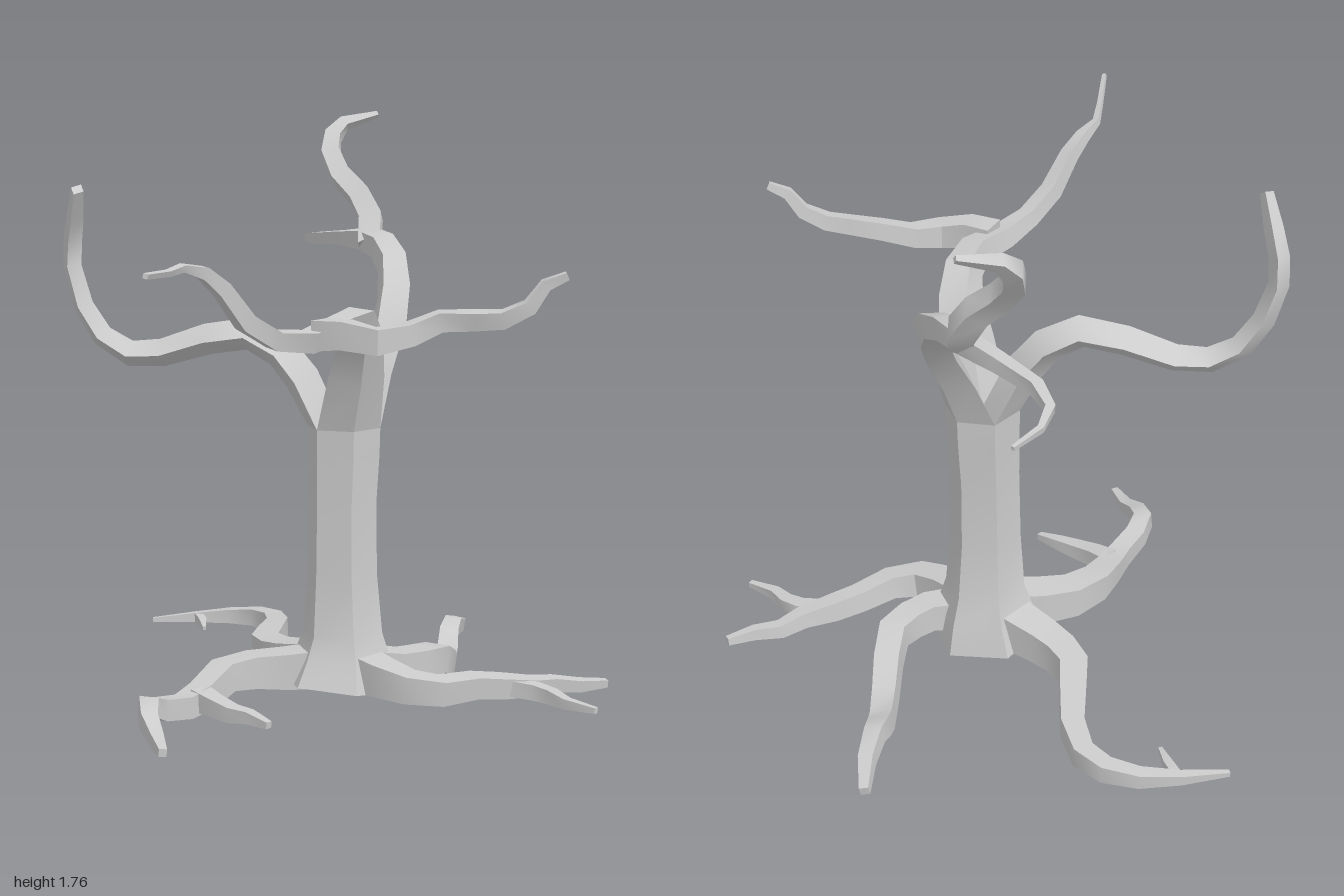
import * as THREE from 'three';
import { toCreasedNormals } from 'three/addons/utils/BufferGeometryUtils.js';

const material = new THREE.MeshStandardMaterial({ color: 0xcccccc });
const V = (x, y, z) => new THREE.Vector3(x, y, z);

// Sweeps a polygon along points [x, y, z, radius, sideRadius?].
// out: direction of the first corner; spin: turn of the section; start: optional first tangent.
function limb(name, points, { sides = 4, out = V(0, 1, 0), spin = 0, start = null } = {}) {
  const path = points.map((p) => V(p[0], p[1], p[2]));
  const last = path.length - 1;
  const normal = out.clone();
  const rings = path.map((p, i) => {
    const before = path[i].clone().sub(path[Math.max(i - 1, 0)]).normalize();
    const after = path[Math.min(i + 1, last)].clone().sub(path[i]).normalize();
    const t = i === 0 && start ? start.clone() : before.add(after).normalize();
    normal.addScaledVector(t, -normal.dot(t)).normalize();
    const side = t.clone().cross(normal);
    const [, , , a, b = a] = points[i];
    return Array.from({ length: sides }, (_, j) => {
      const angle = spin + (j / sides) * Math.PI * 2;
      return p.clone().addScaledVector(normal, Math.cos(angle) * a).addScaledVector(side, Math.sin(angle) * b);
    });
  });
  const tris = [];
  for (let j = 0; j < sides; j++) {
    const k = (j + 1) % sides;
    for (let i = 0; i < last; i++) {
      const [p, q, r, s] = [rings[i][j], rings[i][k], rings[i + 1][k], rings[i + 1][j]];
      tris.push(p, q, r, p, r, s);
    }
    tris.push(path[0], rings[0][k], rings[0][j], path[last], rings[last][j], rings[last][k]);
  }
  const geometry = toCreasedNormals(new THREE.BufferGeometry().setFromPoints(tris), 0.65);
  const mesh = new THREE.Mesh(geometry, material);
  mesh.name = name;
  return mesh;
}

export function createModel() {
  const tree = new THREE.Group();
  tree.name = 'bareTree';
  const cx = 0.17, cz = 0.1, R = 0.112, forkY = 0.84;

  // Six-sided trunk with a flared foot
  tree.add(limb('trunk', [
    [cx - 0.01, 0.055, cz, 0.18], [cx, 0.14, cz, 0.15], [cx, 0.22, cz, 0.122], [cx - 0.005, 0.4, cz, 0.108],
    [cx - 0.005, 0.62, cz, 0.105], [cx, 0.76, cz, 0.11], [cx, forkY, cz, R],
  ], { sides: 6, out: V(1, 0, 0) }));

  // The trunk's hexagon splits into three rhombi, each the root of a main branch
  const mainBranch = (name, degrees, points) => {
    const a = THREE.MathUtils.degToRad(degrees);
    const out = V(Math.cos(a), 0, Math.sin(a));
    const first = [cx + out.x * R / 2, forkY, cz + out.z * R / 2, R / 2, R * 0.866];
    tree.add(limb(name, [first, ...points], { out, start: V(0, 1, 0) }));
  };
  mainBranch('rightBranch', 120, [
    [0.12, 1.0, 0.2, 0.055, 0.085], [0.085, 1.12, 0.25, 0.05, 0.068], [0.03, 1.18, 0.285, 0.046, 0.06],
    [-0.09, 1.175, 0.345, 0.042, 0.052], [-0.25, 1.15, 0.375, 0.038, 0.045], [-0.38, 1.165, 0.38, 0.036],
    [-0.48, 1.22, 0.372, 0.035], [-0.56, 1.315, 0.365, 0.03], [-0.62, 1.36, 0.36, 0.024],
    [-0.7, 1.378, 0.37, 0.014], [-0.82, 1.376, 0.45, 0.011], [-0.995, 1.387, 0.57, 0.009],
  ]);
  mainBranch('leftBranch', 0, [
    [0.29, 0.99, 0.1, 0.05, 0.08], [0.37, 1.12, 0.09, 0.05, 0.07], [0.44, 1.22, 0.045, 0.05, 0.062],
    [0.51, 1.3, -0.03, 0.045, 0.055], [0.56, 1.345, -0.12, 0.042, 0.05], [0.61, 1.36, -0.24, 0.036, 0.045],
    [0.625, 1.355, -0.36, 0.03], [0.645, 1.345, -0.5, 0.025], [0.7, 1.34, -0.59, 0.018],
    [0.77, 1.325, -0.618, 0.012], [0.88, 1.322, -0.62, 0.008],
  ]);
  mainBranch('backBranch', 240, [
    [0.1, 0.98, -0.005, 0.055, 0.085], [0.065, 1.06, -0.06, 0.053, 0.08], [0.01, 1.11, -0.14, 0.05, 0.072],
    [-0.055, 1.09, -0.25, 0.047, 0.065], [-0.13, 1.045, -0.37, 0.042, 0.06], [-0.19, 1.04, -0.45, 0.04, 0.052],
    [-0.235, 1.09, -0.525, 0.036, 0.046], [-0.267, 1.18, -0.575, 0.033, 0.042], [-0.28, 1.3, -0.61, 0.03, 0.038],
    [-0.282, 1.38, -0.605, 0.03, 0.036], [-0.3, 1.45, -0.57, 0.028, 0.034], [-0.33, 1.535, -0.52, 0.02, 0.028],
  ]);

  // Secondary branches
  tree.add(limb('rightSideBranch', [
    [-0.2, 1.165, 0.37, 0.06], [-0.18, 1.17, 0.45, 0.055], [-0.14, 1.155, 0.53, 0.05], [-0.05, 1.17, 0.565, 0.042],
    [0.03, 1.205, 0.61, 0.038], [0.075, 1.21, 0.7, 0.035], [0.11, 1.215, 0.765, 0.033], [0.155, 1.25, 0.82, 0.028],
    [0.185, 1.31, 0.85, 0.022], [0.22, 1.335, 0.895, 0.015],
  ], { spin: Math.PI / 4 }));
  tree.add(limb('leftUpperBranch', [
    [0.6, 1.35, -0.21, 0.055], [0.645, 1.42, -0.25, 0.05], [0.642, 1.49, -0.3, 0.046], [0.63, 1.55, -0.37, 0.043],
    [0.65, 1.62, -0.435, 0.04], [0.685, 1.675, -0.46, 0.036], [0.73, 1.715, -0.455, 0.026],
    [0.83, 1.745, -0.4, 0.011],
  ], { out: V(1, 0, 0), start: V(0, 0.8, -0.6) }));

  // Square-sectioned roots spreading over the ground
  const root = (name, points) => tree.add(limb(name, points, { spin: Math.PI / 4 }));
  root('leftRoot', [
    [0.2, 0.12, 0.14, 0.07], [0.29, 0.115, 0.225, 0.062], [0.36, 0.115, 0.238, 0.06], [0.44, 0.112, 0.235, 0.058],
    [0.52, 0.078, 0.185, 0.054], [0.61, 0.04, 0.115, 0.05], [0.7, 0.035, 0.045, 0.046], [0.77, 0.08, -0.01, 0.042],
    [0.82, 0.1, -0.04, 0.037], [0.9, 0.082, -0.085, 0.031], [0.985, 0.062, -0.155, 0.019],
  ]);
  root('frontRoot', [
    [0.17, 0.12, 0.14, 0.08], [0.155, 0.11, 0.28, 0.068], [0.165, 0.1, 0.38, 0.058], [0.23, 0.09, 0.445, 0.052],
    [0.35, 0.088, 0.468, 0.047], [0.43, 0.078, 0.505, 0.045], [0.52, 0.07, 0.55, 0.036], [0.6, 0.065, 0.565, 0.03],
    [0.66, 0.06, 0.62, 0.025], [0.74, 0.058, 0.655, 0.016],
  ]);
  root('frontRootFork', [
    [0.45, 0.075, 0.52, 0.034], [0.485, 0.068, 0.59, 0.033], [0.488, 0.064, 0.65, 0.029],
    [0.47, 0.06, 0.72, 0.022], [0.482, 0.057, 0.82, 0.012],
  ]);
  root('rightRoot', [
    [0.14, 0.12, 0.1, 0.085], [0.02, 0.11, 0.0, 0.075], [-0.06, 0.11, -0.055, 0.068], [-0.16, 0.108, -0.07, 0.06],
    [-0.28, 0.078, -0.03, 0.052], [-0.38, 0.07, 0.0, 0.045], [-0.48, 0.085, 0.012, 0.043], [-0.54, 0.108, 0.03, 0.04],
    [-0.59, 0.09, 0.09, 0.034], [-0.63, 0.062, 0.17, 0.026], [-0.685, 0.055, 0.26, 0.016],
  ]);
  root('rightRootFork', [
    [-0.31, 0.08, -0.01, 0.046], [-0.318, 0.075, 0.06, 0.038], [-0.318, 0.066, 0.14, 0.032],
    [-0.308, 0.068, 0.2, 0.025], [-0.308, 0.06, 0.28, 0.014],
  ]);
  root('backRoot', [
    [0.17, 0.115, 0.06, 0.09], [0.165, 0.095, -0.12, 0.072], [0.175, 0.09, -0.2, 0.066], [0.21, 0.09, -0.28, 0.06],
    [0.3, 0.09, -0.35, 0.055], [0.42, 0.085, -0.445, 0.048], [0.49, 0.08, -0.54, 0.043], [0.5, 0.078, -0.63, 0.039],
    [0.46, 0.072, -0.72, 0.032], [0.38, 0.065, -0.805, 0.022], [0.27, 0.058, -0.895, 0.01],
  ]);
  root('backRootFork', [
    [0.385, 0.066, -0.795, 0.02], [0.355, 0.065, -0.74, 0.018], [0.31, 0.06, -0.68, 0.008],
  ]);
  return tree;
}
